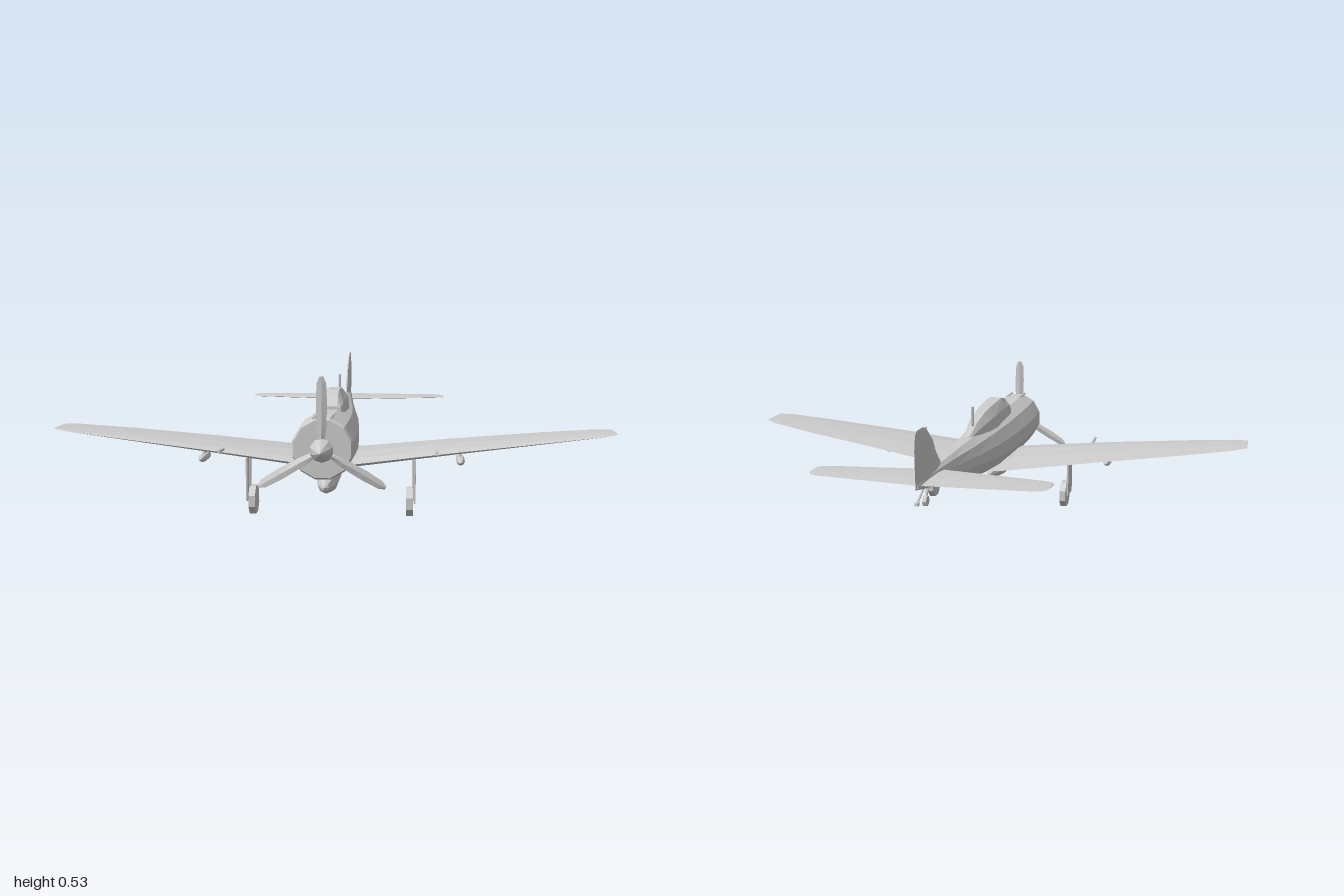
import * as THREE from 'three';

const material = new THREE.MeshStandardMaterial({ color: 0xcccccc, flatShading: true, side: THREE.DoubleSide });
const V = (x, y, z) => new THREE.Vector3(x, y, z);

function add(parent, name, geometry, x = 0, y = 0, z = 0) {
  const mesh = new THREE.Mesh(geometry, material);
  mesh.name = name;
  mesh.position.set(x, y, z);
  parent.add(mesh);
  return mesh;
}

// Skin over a row of equal-length rings, closed at both ends
function loft(rings) {
  const n = rings[0].length, pos = [], idx = [];
  rings.forEach(r => r.forEach(p => pos.push(p.x, p.y, p.z)));
  for (let i = 0; i < rings.length - 1; i++) {
    for (let j = 0; j < n; j++) {
      const a = i * n + j, b = i * n + (j + 1) % n;
      idx.push(a, b, a + n, b, b + n, a + n);
    }
  }
  const last = (rings.length - 1) * n;
  for (let j = 1; j < n - 1; j++) {
    idx.push(0, j + 1, j, last, last + j, last + j + 1);
  }
  const g = new THREE.BufferGeometry();
  g.setAttribute('position', new THREE.Float32BufferAttribute(pos, 3));
  g.setIndex(idx);
  const flat = g.toNonIndexed();
  flat.computeVertexNormals();
  return flat;
}

// Aerofoil section across the x axis: leading edge towards +z
function foil(x, y, lead, trail, thick) {
  const chord = lead - trail;
  const shape = [[0.65, 0.38], [0.32, 0.5], [0.08, 0.3], [0, 0], [0.08, -0.25], [0.32, -0.45], [0.65, -0.33], [1, 0]];
  return shape.map(([c, t]) => V(x, y + t * thick, lead - c * chord));
}

// Mirrors half-span stations [x, y, lead, trail, thickness] into a full surface
function fullSpan(stations) {
  const left = stations.map(s => foil(...s));
  const right = stations.filter(s => s[0] > 0).reverse().map(([x, ...r]) => foil(-x, ...r));
  return loft([...right, ...left]);
}

// Thin rod between two points
function rod(parent, name, a, b, radius, sides = 6) {
  const d = b.clone().sub(a);
  const m = add(parent, name, new THREE.CylinderGeometry(radius, radius, d.length(), sides));
  m.position.copy(a).addScaledVector(d, 0.5);
  m.quaternion.setFromUnitVectors(V(0, 1, 0), d.normalize());
  return m;
}

// Turned body along z from [z, radius] pairs, running back to front
function turned(profile, sides) {
  return new THREE.LatheGeometry(profile.map(([z, r]) => new THREE.Vector2(r, z)), sides).rotateX(Math.PI / 2);
}

export function createModel() {
  const plane = new THREE.Group();
  plane.name = 'aeroplane';

  // Fuselage: [z, bottom, top, half width]
  const hull = [
    [-0.73, 0.318, 0.335, 0.004], [-0.6, 0.295, 0.35, 0.015], [-0.4, 0.256, 0.358, 0.033],
    [-0.2, 0.222, 0.363, 0.055], [0, 0.195, 0.372, 0.078], [0.2, 0.178, 0.38, 0.093],
    [0.4, 0.18, 0.387, 0.102], [0.55, 0.185, 0.392, 0.103], [0.64, 0.188, 0.392, 0.1], [0.656, 0.195, 0.385, 0.094]
  ];
  const sides = 12;
  add(plane, 'fuselage', loft(hull.map(([z, lo, hi, w]) =>
    Array.from({ length: sides }, (_, i) => {
      const a = (i + 0.5) / sides * Math.PI * 2, k = 1 / Math.cos(Math.PI / sides);
      return V(Math.cos(a) * w * k, (lo + hi) / 2 + Math.sin(a) * (hi - lo) / 2 * k, z);
    }))));

  // Canopy: [z, sill height, top height, sill half width, roof half width]
  const canopy = [
    [-0.15, 0.355, 0.367, 0.012, 0.004], [-0.07, 0.35, 0.402, 0.03, 0.012], [0.02, 0.348, 0.427, 0.045, 0.018],
    [0.1, 0.348, 0.437, 0.052, 0.022], [0.26, 0.35, 0.445, 0.052, 0.025], [0.32, 0.365, 0.43, 0.05, 0.024],
    [0.362, 0.375, 0.396, 0.042, 0.024]
  ];
  add(plane, 'canopy', loft(canopy.map(([z, lo, hi, w, r]) => {
    const mid = lo + (hi - lo) * 0.62;
    return [V(w, lo, z), V(w * 0.88, mid, z), V(r, hi, z), V(-r, hi, z), V(-w * 0.88, mid, z), V(-w, lo, z)];
  })));

  // Wing and tail surfaces
  add(plane, 'wing', fullSpan([
    [0, 0.197, 0.44, 0, 0.056], [0.1, 0.204, 0.435, 0.02, 0.052], [0.45, 0.246, 0.418, 0.08, 0.038],
    [0.76, 0.28, 0.4, 0.135, 0.022], [0.95, 0.3, 0.38, 0.185, 0.012], [1, 0.305, 0.355, 0.22, 0.005]
  ]));
  add(plane, 'tailplane', fullSpan([
    [0, 0.328, -0.485, -0.712, 0.016], [0.37, 0.329, -0.545, -0.682, 0.009], [0.4, 0.329, -0.553, -0.672, 0.006],
    [0.415, 0.329, -0.567, -0.64, 0.004]
  ]));
  // Fin is a wing turned upright, so its span runs up
  add(plane, 'fin', loft([
    foil(0.32, 0, -0.455, -0.745, 0.022), foil(0.345, 0, -0.47, -0.748, 0.022), foil(0.4, 0, -0.53, -0.752, 0.02),
    foil(0.45, 0, -0.565, -0.754, 0.016), foil(0.5, 0, -0.63, -0.745, 0.01), foil(0.513, 0, -0.665, -0.725, 0.005)
  ]).rotateZ(Math.PI / 2));

  // Propeller and spinner
  const propeller = new THREE.Group();
  propeller.name = 'propeller';
  propeller.position.set(0, 0.29, 0.68);
  plane.add(propeller);
  add(propeller, 'spinner', turned([[-0.03, 0], [-0.03, 0.034], [0, 0.04], [0.03, 0.03], [0.055, 0.015], [0.075, 0]], 10));
  for (let i = 0; i < 3; i++) {
    const blade = [[0.02, 0.009, 0.006], [0.08, 0.016, 0.005], [0.16, 0.018, 0.004], [0.22, 0.015, 0.003], [0.24, 0.006, 0.002]];
    const g = loft(blade.map(([y, w, t]) => [V(0, y, t), V(w, y, -0.003), V(0, y, -t), V(-w, y, 0.003)]));
    add(propeller, 'blade', g).rotation.z = i * Math.PI * 2 / 3;
  }

  // Belly tank with its pylon
  add(plane, 'bellyTank', turned([[-0.205, 0], [-0.195, 0.01], [-0.13, 0.03], [-0.05, 0.038], [0.08, 0.038],
    [0.15, 0.03], [0.2, 0.014], [0.207, 0]], 8), 0, 0.145, 0.365);
  add(plane, 'tankPylon', new THREE.BoxGeometry(0.02, 0.04, 0.12), 0, 0.183, 0.36);

  for (const s of [1, -1]) {
    // Main wheels, legs and covers
    const gear = new THREE.Group();
    gear.name = s > 0 ? 'leftGear' : 'rightGear';
    plane.add(gear);
    const wheel = new THREE.CylinderGeometry(0.054, 0.054, 0.024, 8).rotateY(Math.PI / 8).rotateZ(Math.PI / 2);
    add(gear, 'wheel', wheel, s * 0.282, 0.05, 0.31);
    add(gear, 'wheelCover', new THREE.BoxGeometry(0.006, 0.155, 0.08), s * 0.3, 0.128, 0.315);
    rod(gear, 'leg', V(s * 0.295, 0.05, 0.312), V(s * 0.295, 0.22, 0.312), 0.006);

    // Underwing stores, wing cannon and cowl guns
    add(plane, 'bomb', turned([[-0.078, 0], [-0.07, 0.006], [-0.04, 0.015], [0.04, 0.015], [0.065, 0.009], [0.078, 0]], 8),
      s * 0.46, 0.203, 0.305);
    add(plane, 'bombRack', new THREE.BoxGeometry(0.008, 0.025, 0.05), s * 0.46, 0.224, 0.3);
    rod(plane, 'wingCannon', V(s * 0.375, 0.243, 0.38), V(s * 0.375, 0.25, 0.485), 0.006);
    rod(plane, 'cowlGun', V(s * 0.028, 0.392, 0.57), V(s * 0.028, 0.392, 0.655), 0.005);
  }

  // Aerial mast, tail wheel and arrestor hook
  rod(plane, 'aerialMast', V(0, 0.36, -0.08), V(0, 0.47, -0.08), 0.006);
  rod(plane, 'tailStrut', V(0, 0.31, -0.625), V(0, 0.26, -0.645), 0.005);
  add(plane, 'tailWheel', new THREE.CylinderGeometry(0.018, 0.018, 0.014, 8).rotateZ(Math.PI / 2), 0, 0.26, -0.645);
  rod(plane, 'hookArm', V(0, 0.312, -0.66), V(0, 0.275, -0.735), 0.004);
  add(plane, 'hookTip', new THREE.BoxGeometry(0.012, 0.01, 0.016), 0, 0.273, -0.735);

  return plane;
}
